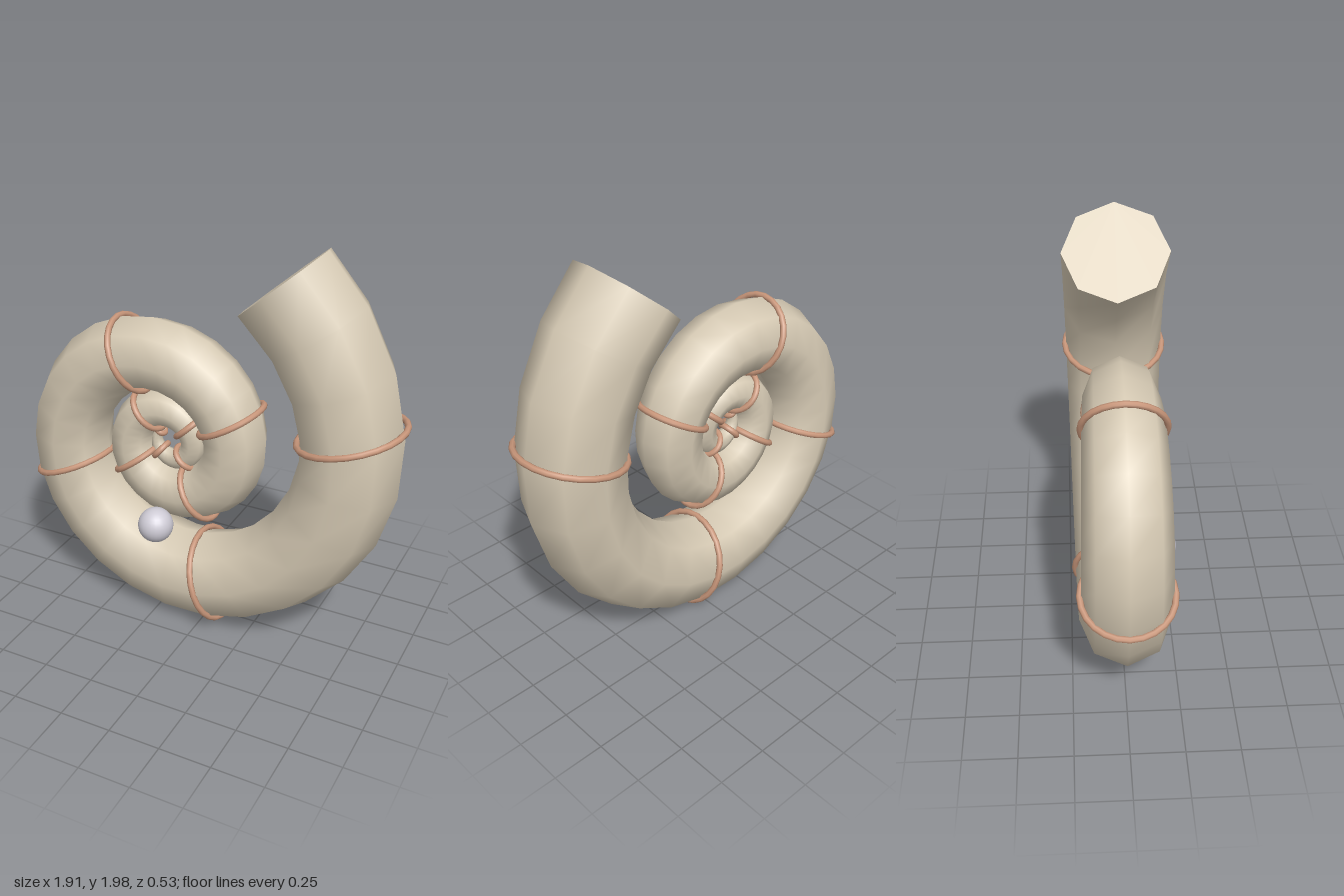
import * as THREE from 'three';

const STEPS = 70, SIDES = 8, STEP_ANGLE = THREE.MathUtils.degToRad(14.4);
const END_ANGLE = THREE.MathUtils.degToRad(57.7), GROWTH = 0.156;
const CENTRE = new THREE.Vector2(-0.207, 0.95);

// Spiral station, counted back from the mouth: polar angle, centre and tube radius
function station(back) {
  const angle = END_ANGLE - back * STEP_ANGLE;
  const r = 1.047 * Math.exp(-GROWTH * back * STEP_ANGLE);
  return {
    angle,
    x: CENTRE.x + r * Math.cos(angle),
    y: CENTRE.y + r * Math.sin(angle),
    radius: THREE.MathUtils.lerp(0.253, 0.014, back / STEPS),
  };
}

// Corner points of one octagonal cross-section, square to the spiral
function section(back) {
  const s = station(back);
  const tilt = back === 0 ? THREE.MathUtils.degToRad(41) : s.angle - Math.atan(GROWTH);
  const points = [];
  for (let j = 0; j < SIDES; j++) {
    const a = (j / SIDES) * Math.PI * 2;
    const out = s.radius * Math.cos(a);
    points.push(s.x + out * Math.cos(tilt), s.y + out * Math.sin(tilt), s.radius * Math.sin(a));
  }
  return points;
}

function indexedGeometry(positions, index) {
  const g = new THREE.BufferGeometry();
  g.setAttribute('position', new THREE.Float32BufferAttribute(positions, 3));
  g.setIndex(index);
  g.computeVertexNormals();
  return g;
}

function tubeGeometry() {
  const positions = [], index = [];
  for (let i = 0; i <= STEPS; i++) positions.push(...section(STEPS - i));
  for (let i = 0; i < STEPS; i++) {
    for (let j = 0; j < SIDES; j++) {
      const k = (j + 1) % SIDES;
      const a = i * SIDES + j, b = a + SIDES, c = i * SIDES + k, d = c + SIDES;
      index.push(a, b, c, b, d, c);
    }
  }
  return indexedGeometry(positions, index);
}

// Flat end cap; the mouth and the tip face opposite ways
function capGeometry(back, flip) {
  const index = [];
  for (let j = 1; j < SIDES - 1; j++) index.push(0, ...(flip ? [j, j + 1] : [j + 1, j]));
  return indexedGeometry(section(back), index);
}

export function createModel() {
  const model = new THREE.Group();
  model.name = 'spiralShell';
  const material = (name, color) => {
    const m = new THREE.MeshStandardMaterial({ color });
    m.name = name;
    return m;
  };
  const shellMat = material('shellBeige', 0xd6cab4);
  const bandMat = material('bandCopper', 0xc8967a);
  const pearlMat = material('pearlGrey', 0xcfccd6);

  const add = (name, geometry, mat, parent = model) => {
    const mesh = new THREE.Mesh(geometry, mat);
    mesh.name = name;
    parent.add(mesh);
    return mesh;
  };

  // Coiled body
  add('shellTube', tubeGeometry(), shellMat);
  add('mouthCap', capGeometry(0, false), shellMat);
  add('tipCap', capGeometry(STEPS, true), shellMat);

  // Bands around the tube, each lying in a plane through the spiral's centre
  const bands = new THREE.Group();
  bands.name = 'bands';
  model.add(bands);
  for (let back = 3; back < STEPS; back += 6) {
    const s = station(back);
    const band = add('band', new THREE.TorusGeometry(s.radius + 0.006, 0.015, 8, 24), bandMat, bands);
    band.position.set(s.x, s.y, 0);
    band.rotation.set(0, Math.PI / 2, s.angle + Math.PI / 2, 'ZYX');
  }

  // Pearl resting in the groove at the front
  add('pearl', new THREE.SphereGeometry(0.086, 24, 16), pearlMat).position.set(-0.207, 0.565, 0.175);

  return model;
}
